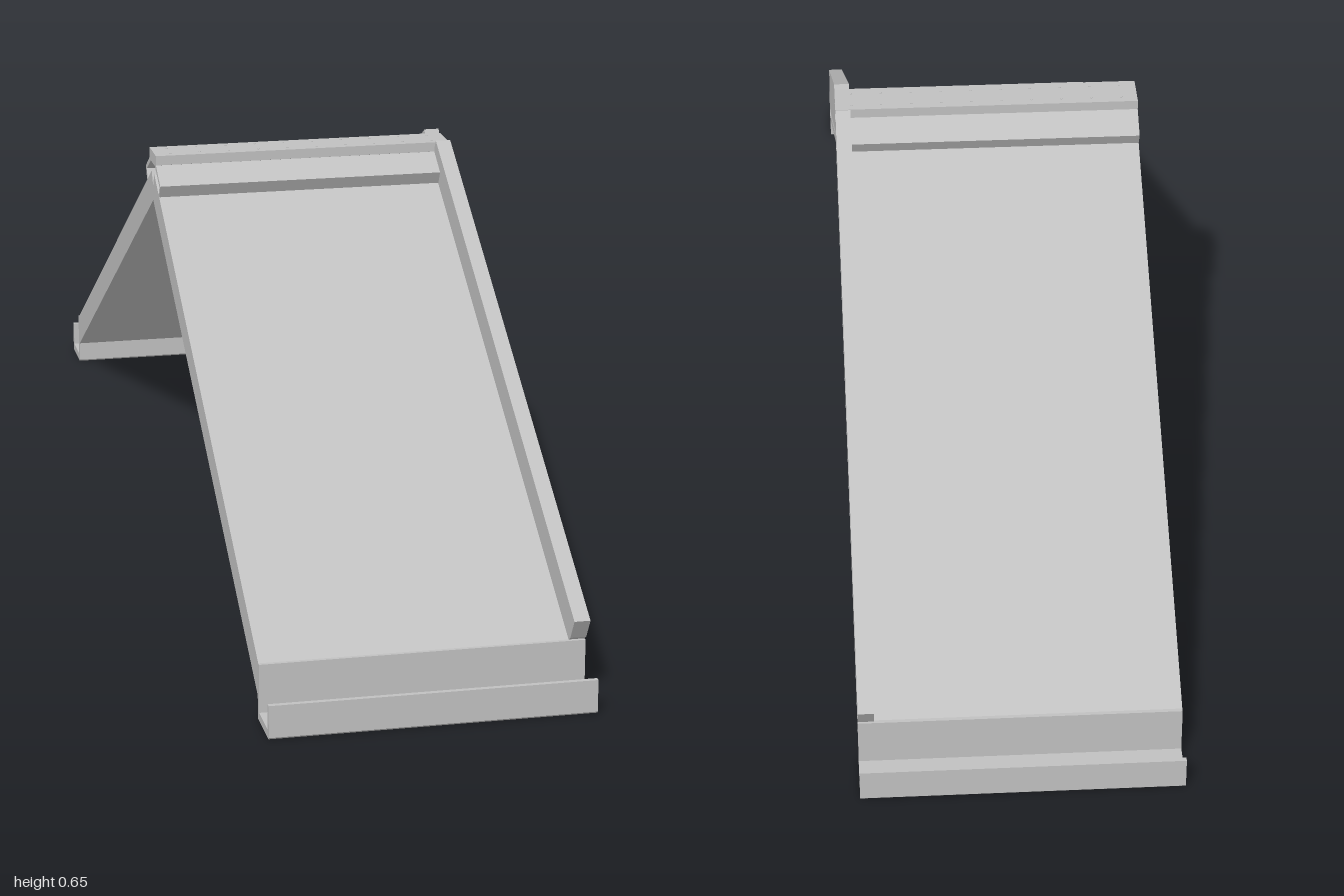
import * as THREE from 'three';

const steel = new THREE.MeshStandardMaterial({ color: 0xc0c0c0 });
steel.name = 'galvanised grey';

const LEFT = -0.252, RIGHT = 0.252, BARGE = 0.227;
const SLOPE = Math.tan(Math.PI / 6);
const onSlope = (ridgeY, z) => [z, ridgeY - SLOPE * z];

// Extrudes a [z, y] profile along x; side = -1 mirrors it to the back
function profile(name, points, x0, x1, side = 1) {
  const shape = new THREE.Shape(points.map(([z, y]) => new THREE.Vector2(-z * side, y)));
  const geo = new THREE.ExtrudeGeometry(shape, { depth: x1 - x0, bevelEnabled: false });
  geo.rotateY(Math.PI / 2).translate(x0, 0, 0);
  const mesh = new THREE.Mesh(geo, steel);
  mesh.name = name;
  return mesh;
}

function roofSide(name, side) {
  const g = new THREE.Group();
  g.name = name;

  // Sloping panel, square cut at the ridge above the meeting line
  g.add(profile('roofPanel', [
    [0, 0.565], [0, 0.59], [0.013, 0.613],
    onSlope(0.621, 0.92), onSlope(0.565, 0.915),
  ], LEFT, RIGHT - 0.006, side));

  // Raised edge trim along the gable
  g.add(profile('bargeTrim', [
    [0, 0.586], [0.0415, 0.654], [0.95, 0.13], [0.929, 0.096],
    [0.92, 0.09], onSlope(0.586, 0.92),
  ], BARGE, RIGHT, side));

  // Thin drip ledge below the trim
  g.add(profile('dripLedge', [
    [0, 0.565], [0, 0.577], onSlope(0.577, 0.915), onSlope(0.565, 0.915),
  ], RIGHT - 0.007, RIGHT, side));

  // Box gutter with tall back wall and short front lip
  g.add(profile('gutter', [
    [0.915, 0.003], [0.915, 0.09], [0.926, 0.09], [0.926, 0.013],
    [0.992, 0.013], [0.992, 0.054], [1, 0.054], [1, 0.003],
    [0.997, 0], [0.918, 0],
  ], LEFT, RIGHT, side));

  // Ridge flashing wing with a folded-under lip
  g.add(profile('ridgeWing', [
    [0.02, 0.633], [0.031, 0.633], [0.074, 0.607],
    [0.063, 0.586], [0.056, 0.588], [0.065, 0.604], [0.02, 0.629],
  ], LEFT, BARGE, side));
  return g;
}

export function createModel() {
  const model = new THREE.Group();
  model.name = 'roofSection';
  model.add(roofSide('frontSlope', 1), roofSide('backSlope', -1));

  // Flat ridge cap bridging the two slopes
  model.add(profile('ridgeCap', [
    [-0.032, 0.633], [-0.032, 0.649], [0.032, 0.649], [0.032, 0.633],
    [0.022, 0.629], [-0.022, 0.629],
  ], LEFT, RIGHT));

  // Small fixings along the cap
  const rivetGeo = new THREE.CylinderGeometry(0.002, 0.002, 0.001, 8);
  const rivets = new THREE.Group();
  rivets.name = 'rivets';
  for (const z of [-0.018, 0.018]) {
    for (let i = 0; i < 10; i++) {
      const rivet = new THREE.Mesh(rivetGeo, steel);
      rivet.name = 'rivet';
      rivet.position.set(-0.225 + i * 0.05, 0.6493, z);
      rivets.add(rivet);
    }
  }
  model.add(rivets);
  return model;
}
